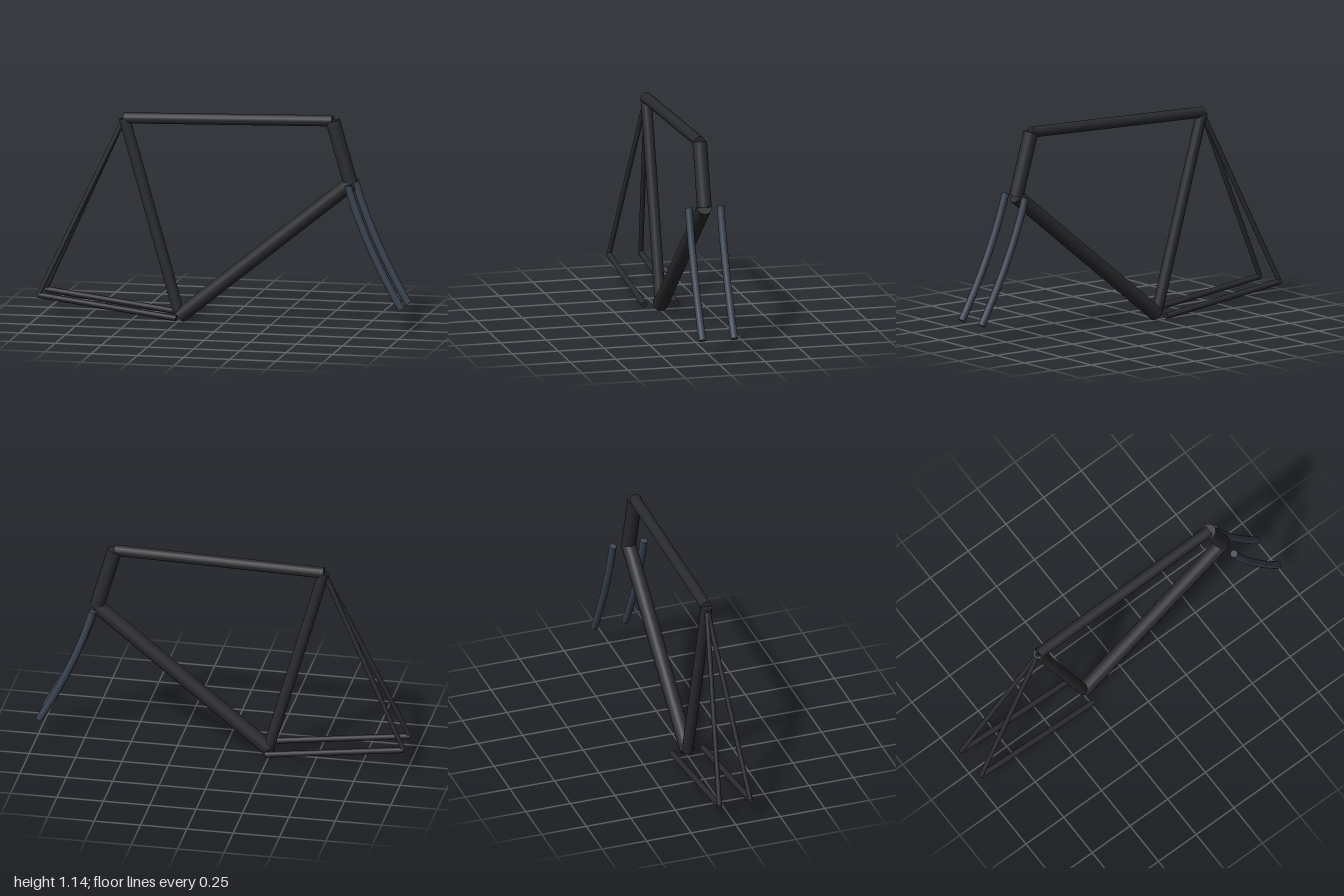
import * as THREE from 'three';

export function createModel() {
  const group = new THREE.Group();
  const frameMat = new THREE.MeshStandardMaterial({ color: 0x2a2b2e });
  const forkMat = new THREE.MeshStandardMaterial({ color: 0x3a4350 });
  const up = new THREE.Vector3(0, 1, 0);
  const v = (x, y, z = 0) => new THREE.Vector3(x, y, z);

  // Straight round tube between two points
  function tube(name, a, b, radius) {
    const dir = b.clone().sub(a);
    const mesh = new THREE.Mesh(new THREE.CylinderGeometry(radius, radius, dir.length(), 16), frameMat);
    mesh.position.copy(a).add(b).multiplyScalar(0.5);
    mesh.quaternion.setFromUnitVectors(up, dir.normalize());
    mesh.name = name;
    group.add(mesh);
  }

  // Frame joints
  const seatTop = v(-0.54, 1.085);
  const headTop = v(0.588, 1.114);
  const headBottom = v(0.685, 0.78);
  const crank = v(-0.24, 0.032);

  // Main frame
  tube('topTube', seatTop, headTop, 0.03);
  tube('headTube', headTop, headBottom, 0.039);
  tube('downTube', headBottom, crank, 0.04);
  tube('seatTube', seatTop, crank, 0.03);

  for (const [side, s] of [['left', 1], ['right', -1]]) {
    const z = s * 0.087;

    // Rear stays: chain stays run parallel, seat stays meet at the seat joint
    const axle = v(-0.986, 0.13, z);
    tube(side + 'ChainStay', v(-0.24, 0.034, z), axle, 0.016);
    tube(side + 'SeatStay', seatTop, axle, 0.013);

    // Curved fork blade with closed ends
    const blade = new THREE.Group();
    blade.name = side + 'ForkBlade';
    const curve = new THREE.QuadraticBezierCurve3(v(0.69, 0.785, z), v(0.78, 0.47, z), v(0.979, 0.13, z));
    blade.add(new THREE.Mesh(new THREE.TubeGeometry(curve, 24, 0.02, 16), forkMat));
    for (const t of [0, 1]) {
      const cap = new THREE.Mesh(new THREE.CircleGeometry(0.02, 16), forkMat);
      const out = curve.getTangent(t).multiplyScalar(t ? 1 : -1);
      cap.position.copy(curve.getPoint(t));
      cap.quaternion.setFromUnitVectors(v(0, 0, 1), out);
      cap.name = 'bladeEnd';
      blade.add(cap);
    }
    group.add(blade);
  }
  return group;
}
